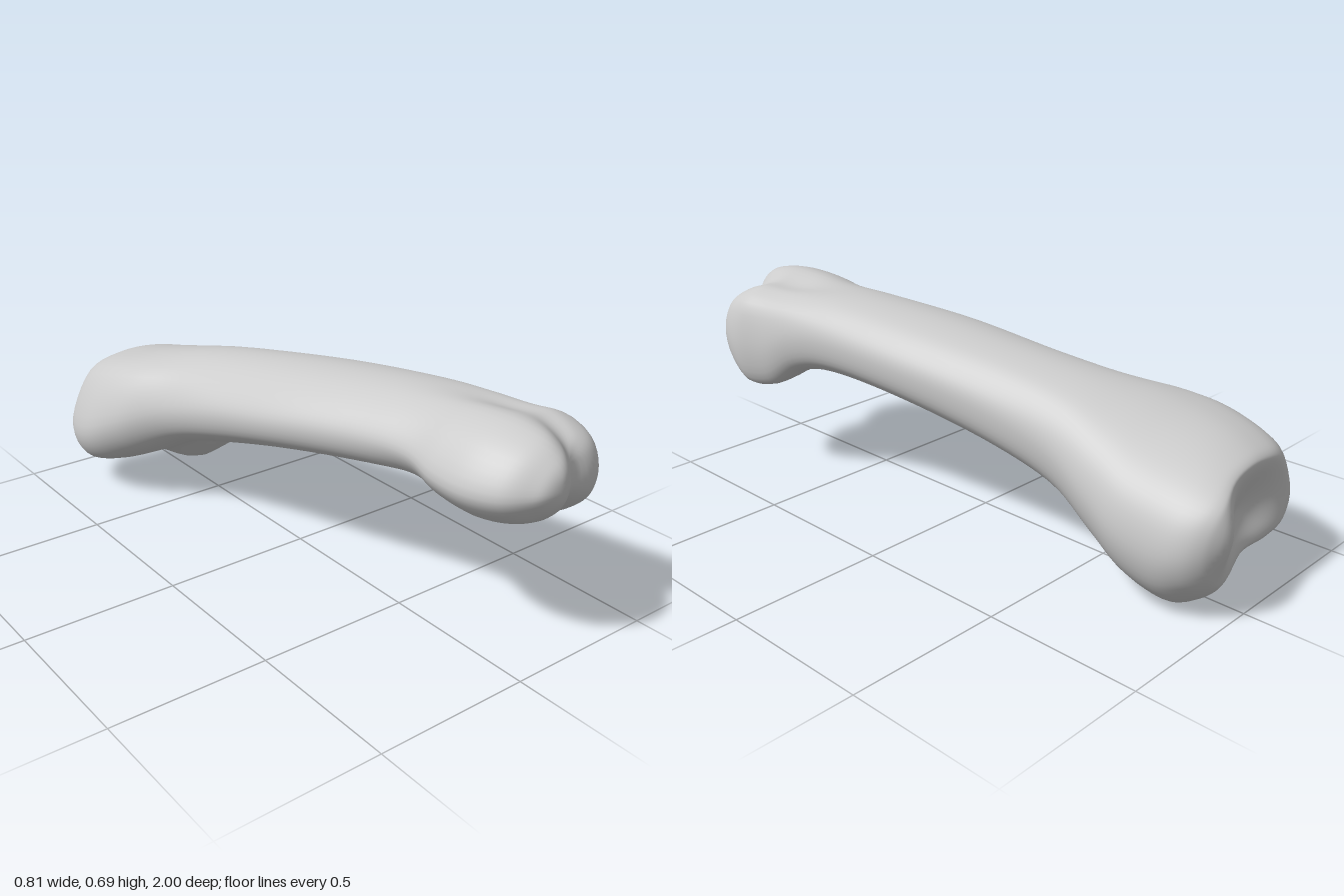
import * as THREE from 'three';
import { mergeVertices } from 'three/addons/utils/BufferGeometryUtils.js';

// Cross-section outlines in a -1..1 box, counter-clockwise from the +x side
const BASE = [[1, -.2], [.94, .33], [.7, .7], [.25, .95], [-.25, .99], [-.72, .77],
  [-1, .02], [-.9, -.48], [-.57, -.65], [-.05, -.69], [.45, -1], [.84, -.7]];
const SHAFT = [[1, 0], [.9, .45], [.6, .85], [.1, 1], [-.4, .86], [-.8, .46],
  [-1, -.05], [-.9, -.6], [-.5, -.92], [0, -.95], [.5, -1], [.9, -.6]];
const HEAD = [[.99, -.25], [.88, .52], [.58, .82], [.24, .86], [-.22, 1], [-.72, .7],
  [-1, .05], [-.7, -.46], [-.26, -.64], [.12, -.74], [.47, -.98], [.87, -.94]];

// Stations along the bone: z, x min, x max, y min, y max, blend (-1 base, 0 shaft, 1 head)
const STATIONS = [
  [-.945, -.07, -.07, .27, .27, -1],
  [-.95, -.16, .04, .19, .34, -1],
  [-.953, -.25, .14, .12, .40, -1],
  [-.942, -.315, .185, .08, .425, -1],
  [-.90, -.365, .215, .04, .447, -1],
  [-.82, -.398, .23, .002, .475, -1],
  [-.70, -.405, .236, .035, .505, -1],
  [-.58, -.36, .218, .11, .535, -.8],
  [-.42, -.265, .20, .22, .567, -.4],
  [-.20, -.21, .225, .30, .60, 0],
  [.10, -.16, .278, .37, .643, 0],
  [.40, -.085, .32, .41, .672, .1],
  [.56, -.06, .352, .405, .678, .5],
  [.68, -.077, .382, .343, .685, 1],
  [.80, -.078, .405, .333, .69, 1],
  [.90, -.045, .395, .36, .675, 1],
  [.96, .01, .36, .415, .645, 1],
  [.99, .06, .28, .48, .605, 1],
  [1.0, .15, .15, .55, .55, 1],
];

const RING = 60, STEPS = 108;
const gauss = (v, mid, width) => Math.exp(-(((v - mid) / width) ** 2));

// One smooth closed ring of points for a station
function ring([z, x0, x1, y0, y1, k]) {
  const end = k < 0 ? BASE : HEAD;
  const pts = SHAFT.map(([sx, sy], i) => {
    const u = THREE.MathUtils.lerp(sx, end[i][0], Math.abs(k));
    const v = THREE.MathUtils.lerp(sy, end[i][1], Math.abs(k));
    return new THREE.Vector3((x0 + x1) / 2 + u * (x1 - x0) / 2, (y0 + y1) / 2 + v * (y1 - y0) / 2, z);
  });
  const curve = new THREE.CatmullRomCurve3(pts, true, 'catmullrom', .5);
  return Array.from({ length: RING }, (_, j) => curve.getPoint(j / RING));
}

// Shallow joint face and ridge at the back; two unequal rounded knuckles at the front
function shapeEnds(p) {
  const back = 1 - THREE.MathUtils.smoothstep(p.z, -.94, -.78);
  const front = THREE.MathUtils.smoothstep(p.z, .70, .97);
  const { x, y } = p;
  p.z += back * (.045 * gauss(x, -.12, .15) * gauss(y, .25, .12) - .053 * gauss(x, .1, .075) * gauss(y, .27, .12));
  const leftKnuckle = THREE.MathUtils.smoothstep(x, .1, .26);
  p.z -= front * (leftKnuckle * (.055 + .04 * ((y - .5) / .15) ** 2) + .02 * gauss(x, .215, .06));
  return p;
}

function boneGeometry() {
  const rings = STATIONS.map(ring);
  const positions = [], index = [];
  const columns = Array.from({ length: RING }, (_, j) =>
    new THREE.CatmullRomCurve3(rings.map(r => r[j]), false, 'catmullrom', .5));
  for (let i = 0; i <= STEPS; i++) {
    for (let j = 0; j < RING; j++) {
      const p = shapeEnds(columns[j].getPoint(i / STEPS));
      positions.push(p.x, p.y, p.z);
      if (i === STEPS) continue;
      const a = i * RING + j, b = i * RING + (j + 1) % RING;
      // The first and last rings close to a point, so they need one triangle per side
      if (i > 0) index.push(a, b, b + RING);
      if (i < STEPS - 1) index.push(a, b + RING, a + RING);
    }
  }
  const geometry = new THREE.BufferGeometry();
  geometry.setAttribute('position', new THREE.Float32BufferAttribute(positions, 3));
  geometry.setIndex(index);
  const merged = mergeVertices(geometry, 1e-5);
  merged.computeVertexNormals();
  return merged;
}

export function createModel() {
  const group = new THREE.Group();
  group.name = 'fingerBone';
  const bone = new THREE.Mesh(boneGeometry(), new THREE.MeshStandardMaterial({ color: 0xcccccc }));
  bone.name = 'bone';
  group.add(bone);
  return group;
}
